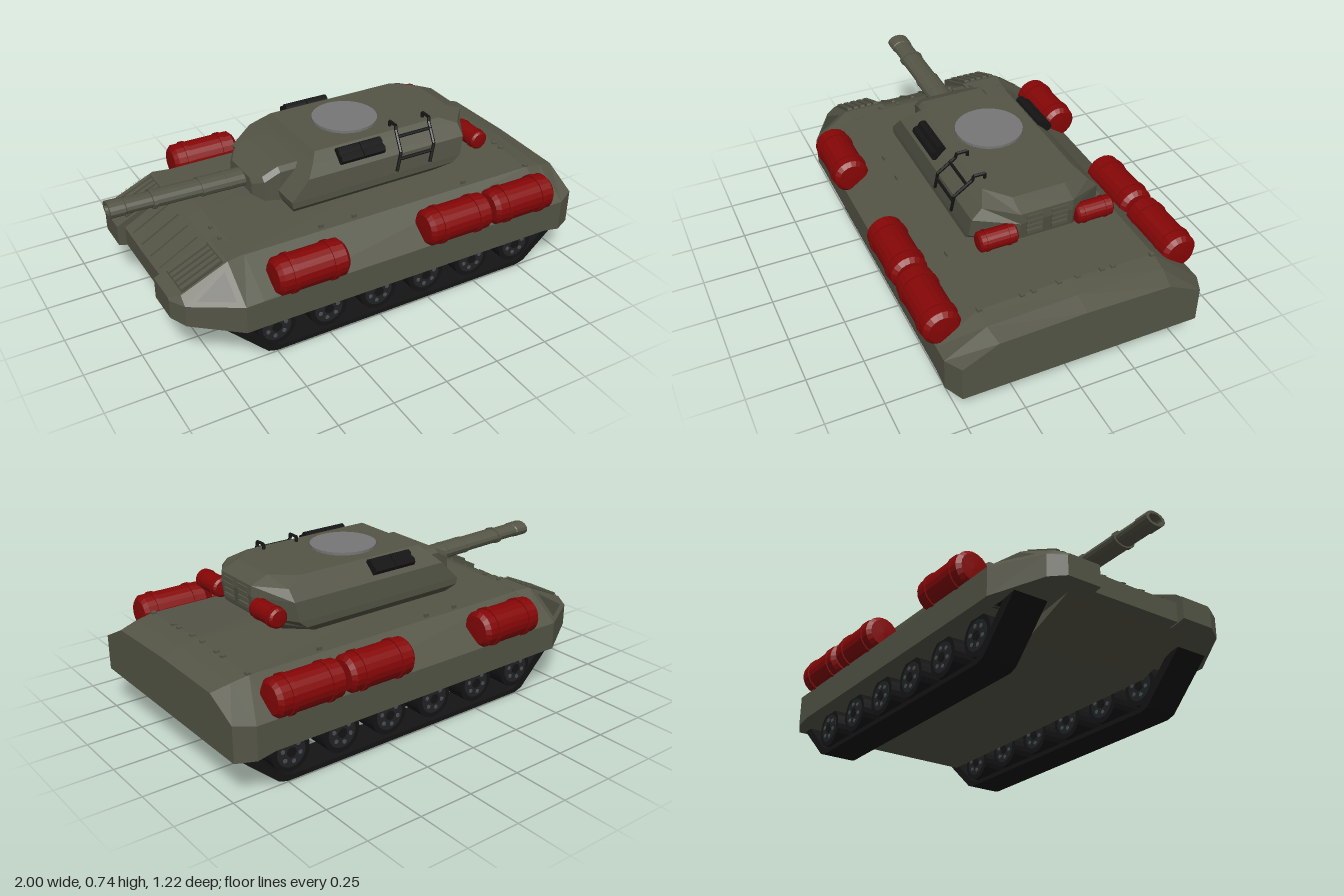
import * as THREE from 'three';

const mat = (name, color, extra = {}) => {
  const m = new THREE.MeshStandardMaterial({ color, flatShading: true, ...extra });
  m.name = name;
  return m;
};

export function createModel() {
  const model = new THREE.Group();
  model.name = 'tank';
  const olive = mat('olive armour', 0x545546);
  const shade = mat('dark olive', 0x444538, { side: THREE.DoubleSide });
  const red = mat('red drum', 0x850606);
  const black = mat('black rubber', 0x141415);
  const iron = mat('dark iron', 0x202325);
  const steel = mat('bolt steel', 0x4c4f52);
  const grey = mat('grey hatch', 0x767676);

  const add = (name, geo, material, x = 0, y = 0, z = 0, parent = model) => {
    const mesh = new THREE.Mesh(geo, material);
    mesh.name = name;
    mesh.position.set(x, y, z);
    parent.add(mesh);
    return mesh;
  };
  const box = (w, h, d) => new THREE.BoxGeometry(w, h, d);
  const extrude = (pts, depth, hole) => {
    const shape = new THREE.Shape(pts.map(p => new THREE.Vector2(...p)));
    if (hole) shape.holes.push(new THREE.Path(hole.map(p => new THREE.Vector2(...p))));
    return new THREE.ExtrudeGeometry(shape, { depth, bevelEnabled: false }).translate(0, 0, -depth / 2);
  };
  // Joins rings of equal point count and closes both ends
  const loft = rings => {
    const out = [], n = rings[0].length, tri = (...p) => p.forEach(v => out.push(...v));
    for (let i = 0; i + 1 < rings.length; i++) for (let j = 0; j < n; j++) {
      const k = (j + 1) % n, a = rings[i][j], b = rings[i][k], c = rings[i + 1][k], d = rings[i + 1][j];
      tri(a, d, c);
      tri(a, c, b);
    }
    const s = rings[0], e = rings[rings.length - 1];
    for (let j = 1; j + 1 < n; j++) {
      tri(s[0], s[j], s[j + 1]);
      tri(e[0], e[j + 1], e[j]);
    }
    const g = new THREE.BufferGeometry();
    g.setAttribute('position', new THREE.Float32BufferAttribute(out, 3));
    g.computeVertexNormals();
    return g;
  };
  const rod = (name, a, b, r, material) => {
    const p = new THREE.Vector3(...a), q = new THREE.Vector3(...b), d = q.clone().sub(p);
    const m = add(name, new THREE.CylinderGeometry(r, r, d.length(), 6), material, ...p.clone().add(q).multiplyScalar(0.5));
    m.quaternion.setFromUnitVectors(new THREE.Vector3(0, 1, 0), d.normalize());
  };

  // Hull: each section is x, bottom, side and shoulder as [z, y], ridge height
  const sections = [
    [-0.87, [0.40, 0.235], [0.42, 0.32], [0.38, 0.325], 0.318],
    [-0.66, [0.555, 0.205], [0.555, 0.325], [0.39, 0.435], 0.435],
    [-0.60, [0.56, 0.2], [0.56, 0.325], [0.39, 0.445], 0.455],
    [0.84, [0.56, 0.195], [0.56, 0.325], [0.39, 0.445], 0.46],
    [0.92, [0.56, 0.18], [0.56, 0.325], [0.385, 0.432], 0.443],
    [1.0, [0.52, 0.178], [0.52, 0.335], [0.37, 0.41], 0.418]];
  add('hull', loft(sections.map(([x, b, s, h, top]) => [
    ...[b, s, h].map(([z, y]) => [x, y, z]), [x, top, 0],
    ...[h, s, b].map(([z, y]) => [x, y, -z])])), olive);
  add('belly', extrude([[-0.83, 0.225], [-0.56, 0.122], [0.86, 0.122], [0.97, 0.185], [0.97, 0.23], [-0.8, 0.24]], 0.62), olive);

  // Front fenders: sections of x, bottom y, outer z, side y, shoulder z, shoulder y
  const fender = [[-0.905, 0.24, 0.37, 0.325, 0.36, 0.335], [-0.865, 0.23, 0.44, 0.325, 0.40, 0.355],
    [-0.66, 0.2, 0.562, 0.325, 0.402, 0.447], [-0.58, 0.2, 0.56, 0.325, 0.388, 0.447]];
  const slope = Math.atan2(0.092, 0.205);
  for (const s of [1, -1]) {
    const rings = fender.map(([x, b, zo, ys, zs, yt]) => {
      const ring = [[x, b, s * zo], [x, ys, s * zo], [x, yt, s * zs], [x, yt, s * 0.215], [x, b, s * 0.215]];
      return s > 0 ? ring : ring.reverse();
    });
    add('frontFender', loft(rings), olive);

    // Grille on the sloped top
    const grille = new THREE.Group();
    grille.name = 'fenderGrille';
    grille.position.set(-0.765, 0.401, s * 0.31);
    grille.rotation.z = slope;
    model.add(grille);
    add('grilleBed', box(0.2, 0.004, 0.16), shade, 0, 0, 0, grille);
    for (let i = 0; i < 5; i++) add('grilleSlat', box(0.19, 0.012, 0.021), olive, 0, 0.004, -0.066 + i * 0.033, grille);

    // Triangular panel on the tapered side
    const corners = [[-0.865, 0.325, 0.44], [-0.66, 0.325, 0.562], [-0.66, 0.447, 0.402]]
      .map(([x, y, z]) => new THREE.Vector3(x, y, z * s));
    const mid = new THREE.Vector3().add(corners[0]).add(corners[1]).add(corners[2]).divideScalar(3);
    const lift = new THREE.Vector3(-0.002, 0.003, 0.003 * s);
    const points = corners.map(c => c.clone().lerp(mid, 0.35).add(lift));
    const panel = new THREE.BufferGeometry().setFromPoints(s > 0 ? points : points.reverse());
    panel.computeVertexNormals();
    add('sidePanel', panel, shade);
  }
  for (const z of [-0.15, -0.05, 0.05, 0.15])
    add('glacisRib', box(0.2, 0.01, 0.012), olive, -0.77, 0.377, z).rotation.z = 0.51;

  // Deck bolts and hooks
  for (const s of [1, -1]) {
    for (const z of [0.04, 0.15, 0.2, 0.38]) add('deckBolt', box(0.02, 0.012, 0.02), olive, 0.84, 0.459 - z * 0.03, s * z);
    for (const z of [0.15, 0.24]) add('deckBolt', box(0.016, 0.012, 0.016), olive, -0.62, 0.45, s * z);
    for (const x of [-0.22, -0.06, 0.5]) add('deckHook', box(0.022, 0.02, 0.008), olive, x, 0.45, s * 0.37);
  }

  // Tracks and road wheels
  const outer = [[-0.75, 0.22], [-0.725, 0.195], [-0.54, 0.012], [-0.5, 0], [0.75, 0], [0.79, 0.012], [0.985, 0.185], [0.96, 0.22]];
  const inner = [[-0.67, 0.2], [-0.51, 0.034], [-0.485, 0.021], [0.725, 0.021], [0.765, 0.034], [0.93, 0.185], [0.92, 0.2]];
  const disc = (r, w, n) => new THREE.CylinderGeometry(r, r, w, n).rotateX(Math.PI / 2);
  for (const s of [1, -1]) {
    add('trackBelt', extrude(outer, 0.155, inner), black, 0, 0, s * 0.418);
    for (let i = 0; i < 6; i++) {
      const wheel = new THREE.Group();
      wheel.name = 'roadWheel';
      wheel.position.set(-0.497 + i * 0.245, 0.122, s * 0.418);
      model.add(wheel);
      add('tyre', disc(0.088, 0.148, 24), black, 0, 0, 0, wheel);
      add('wheelDisc', disc(0.066, 0.153, 20), iron, 0, 0, 0, wheel);
      add('wheelHub', disc(0.022, 0.162, 10), black, 0, 0, 0, wheel);
      for (let k = 0; k < 6; k++) {
        const a = k * Math.PI / 3 + 0.3;
        add('wheelBolt', disc(0.01, 0.159, 6), steel, 0.043 * Math.cos(a), 0.043 * Math.sin(a), 0, wheel);
      }
    }
  }

  // Banded drums, built along x
  const drum = (name, length, r, x, y, z, turn) => {
    const g = new THREE.Group();
    g.name = name;
    g.position.set(x, y, z);
    g.rotation.y = turn;
    model.add(g);
    const h = length / 2, profile = [[0, -h], [r * 0.76, -h + 0.003], [r * 0.98, -h + r * 0.25],
      [r * 0.98, h - r * 0.25], [r * 0.76, h - 0.003], [0, h]].map(p => new THREE.Vector2(...p));
    add('drumBody', new THREE.LatheGeometry(profile, 20).rotateZ(-Math.PI / 2), red, 0, 0, 0, g);
    for (const s of [1, -1])
      add('drumBand', new THREE.CylinderGeometry(r * 1.05, r * 1.05, length * 0.06, 20).rotateZ(Math.PI / 2), red, s * length * 0.28, 0, 0, g);
  };
  for (const s of [1, -1]) {
    for (const x of [-0.365, 0.345, 0.682]) drum('hullDrum', 0.322, 0.081, x, 0.397, s * 0.525, 0);
    drum('turretDrum', 0.168, 0.043, 0.635, 0.588, s * 0.213, Math.PI / 2);
  }

  // Turret: rings of y, front x, rear x, half width, rear half width
  add('turretRing', new THREE.CylinderGeometry(0.185, 0.185, 0.05, 24), olive, 0.12, 0.46, 0);
  add('turret', loft([[0.473, -0.28, 0.53, 0.243, 0.15], [0.515, -0.305, 0.6, 0.288, 0.15], [0.545, -0.31, 0.635, 0.288, 0.12],
    [0.63, -0.225, 0.65, 0.28, 0.115], [0.675, -0.182, 0.648, 0.235, 0.115], [0.706, -0.155, 0.57, 0.2, 0.115]].map(([y, f, r, z, q]) =>
    [[f, y, -z], [r - 0.1, y, -z], [r, y, -q], [r, y, q], [r - 0.1, y, z], [f, y, z]])), olive);
  for (const s of [1, -1]) for (let i = 0; i < 4; i++)
    add('rearVent', box(0.009, 0.016, 0.07), olive, 0.65, 0.582 + i * 0.024, s * 0.055);
  add('hatch', new THREE.CylinderGeometry(0.145, 0.145, 0.014, 28), grey, 0.105, 0.711, 0);

  // Gun mantlet and barrel
  const slab = (x, w, lo, hi) => [[x, lo, w], [x, hi - 0.02, w], [x, hi, w - 0.02], [x, hi, 0.02 - w], [x, hi - 0.02, -w], [x, lo, -w]];
  add('mantlet', loft([slab(-0.405, 0.105, 0.52, 0.592), slab(-0.37, 0.155, 0.505, 0.612),
    slab(-0.3, 0.165, 0.495, 0.647), slab(-0.18, 0.165, 0.49, 0.647)]), olive);
  const gun = new THREE.Group();
  gun.name = 'gun';
  gun.position.set(-0.4, 0.556, 0);
  gun.rotation.z = -0.025;
  gun.scale.z = 1.55;
  model.add(gun);
  const tube = [[0, 0], [0.036, 0], [0.036, -0.19], [0.033, -0.195], [0.033, -0.41], [0.03, -0.415], [0.03, -0.53],
    [0.033, -0.535], [0.033, -0.6], [0.022, -0.6], [0.02, -0.54], [0, -0.54]];
  add('barrel', new THREE.LatheGeometry(tube.reverse().map(([r, y]) => new THREE.Vector2(r, y)), 14).rotateZ(-Math.PI / 2), olive, 0, 0, 0, gun);
  for (const x of [-0.08, -0.195, -0.41])
    add('barrelBand', new THREE.CylinderGeometry(0.037, 0.037, 0.014, 14).rotateZ(Math.PI / 2), olive, x, 0, 0, gun);

  // Smoke launchers on both turret cheeks
  for (const s of [1, -1]) for (const x of [-0.016, 0.092]) for (const k of [0, 1])
    add('smokeLauncher', new THREE.CylinderGeometry(0.022, 0.022, 0.104, 8).rotateZ(Math.PI / 2), black, x, 0.69 - k * 0.02, s * (0.235 + k * 0.026));

  // Ladder on the left cheek, hooked over the roof
  const low = [0, 0.555, 0.291], bend = [0.02, 0.638, 0.285], roof = [0.038, 0.709, 0.212];
  const high = [0.04, 0.728, 0.208], end = [0.04, 0.728, 0.16], foot = [0.04, 0.7, 0.16];
  const at = (p, x) => [p[0] + x, p[1], p[2]];
  for (const x of [0.2, 0.37]) {
    const path = [low, bend, roof, high, end, foot].map(p => at(p, x));
    for (let i = 0; i < 5; i++) rod('ladderRail', path[i], path[i + 1], 0.0075, black);
  }
  for (const p of [[0.014, 0.61, 0.288], [0.032, 0.688, 0.235]]) rod('ladderRung', at(p, 0.2), at(p, 0.37), 0.0075, black);

  return model;
}
